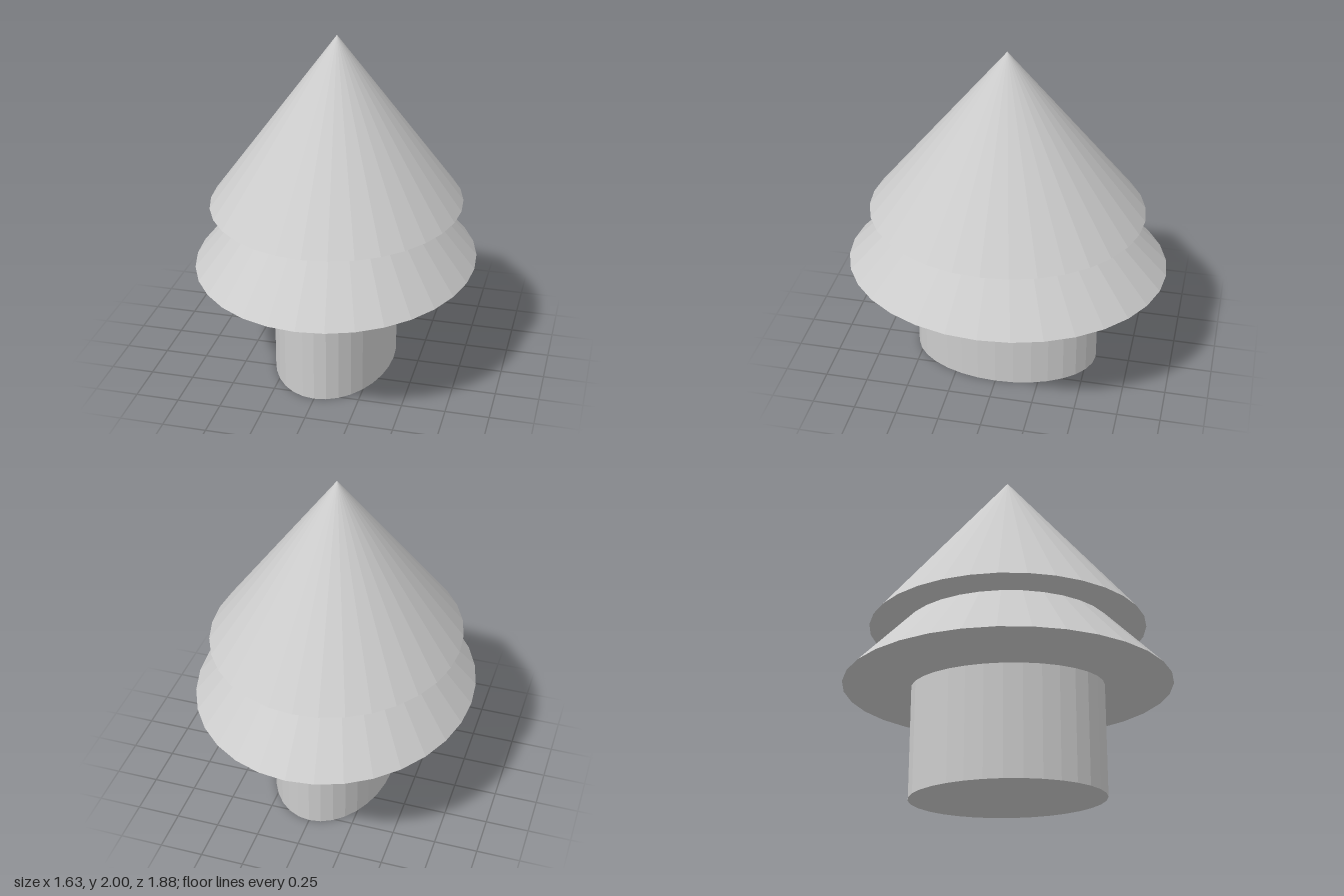
import * as THREE from 'three';

const SIDES = 32;

export function createModel() {
  const model = new THREE.Group();
  model.name = 'tree';
  const grey = new THREE.MeshStandardMaterial({ color: 0xcccccc, flatShading: true });
  grey.name = 'plain grey';

  // Adds an oval part with half-widths rx and rz, standing on y = base
  function addOval(name, geometry, rx, rz, base, height) {
    geometry.scale(rx, height, rz);
    geometry.translate(0, base + height / 2, 0);
    const mesh = new THREE.Mesh(geometry, grey);
    mesh.name = name;
    model.add(mesh);
  }

  // Oval trunk
  addOval('trunk', new THREE.CylinderGeometry(1, 1, 1, SIDES), 0.35, 0.55, 0, 0.66);

  // Two overlapping tiers of foliage
  addOval('lowerFoliage', new THREE.ConeGeometry(1, 1, SIDES), 0.813, 0.938, 0.66, 0.985);
  addOval('upperFoliage', new THREE.ConeGeometry(1, 1, SIDES), 0.725, 0.798, 1.015, 0.985);

  return model;
}
